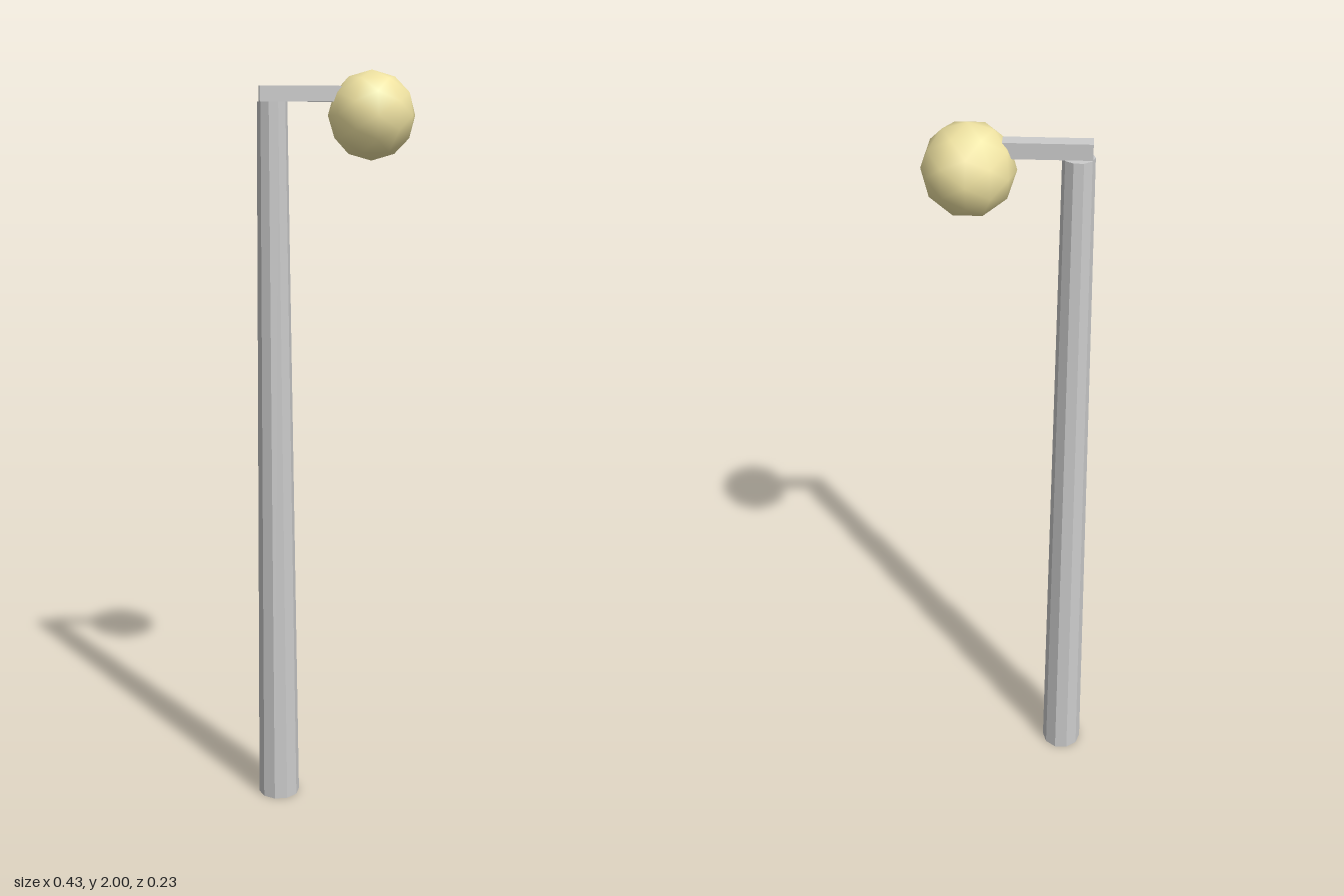
import * as THREE from 'three';

export function createModel() {
  const group = new THREE.Group();
  const grey = new THREE.MeshStandardMaterial({ color: 0xcccccc, flatShading: true });
  const glow = new THREE.MeshStandardMaterial({ color: 0xf0e3a2 });

  const add = (name, geometry, material, x, y, z = 0) => {
    const mesh = new THREE.Mesh(geometry, material);
    mesh.name = name;
    mesh.position.set(x, y, z);
    group.add(mesh);
    return mesh;
  };

  // Tapered ten-sided post, with corners pointing along x
  const poleHeight = 1.92;
  const pole = add('pole', new THREE.CylinderGeometry(0.039, 0.057, poleHeight, 10), grey, -0.157, poleHeight / 2);
  pole.rotation.y = Math.PI / 2;

  // Square arm resting on the post and running into the globe
  const armStart = -0.19, armEnd = 0.1, armSize = 0.039;
  add('arm', new THREE.BoxGeometry(armEnd - armStart, armSize, armSize), grey,
    (armStart + armEnd) / 2, poleHeight + armSize / 2);

  // Faceted, smooth-shaded lamp globe
  const radius = 0.114;
  add('lampGlobe', new THREE.IcosahedronGeometry(radius, 1), glow, 0.1, 2 - radius);

  return group;
}
